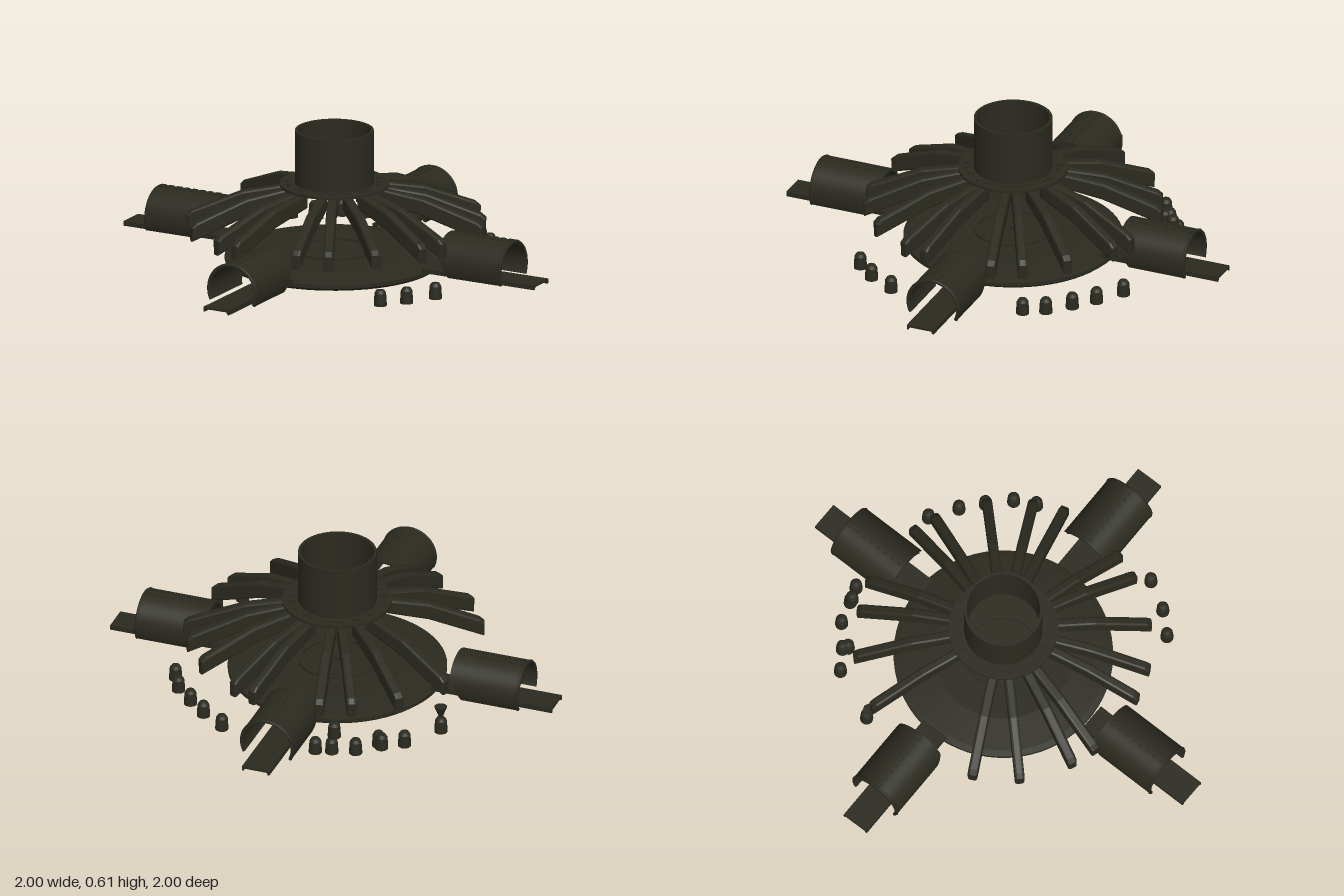
import * as THREE from 'three';

export function createModel() {
  const root = new THREE.Group();
  root.name = 'hubStructure';
  const olive = new THREE.MeshStandardMaterial({ color: 0x2b2a20, side: THREE.DoubleSide });
  olive.name = 'dark olive';

  const add = (parent, name, geo, x = 0, y = 0, z = 0) => {
    const m = new THREE.Mesh(geo, olive);
    m.name = name;
    m.position.set(x, y, z);
    parent.add(m);
    return m;
  };
  // Closed ring of revolution; doubled corners keep the edges sharp
  const lathe = (pts, seg = 64) => {
    const sharp = pts.flatMap(([r, y]) => [new THREE.Vector2(r, y), new THREE.Vector2(r, y)]);
    return new THREE.LatheGeometry(sharp, seg);
  };

  const hub = new THREE.Group();
  hub.name = 'hub';
  hub.position.set(-0.003, 0, -0.022);
  root.add(hub);

  // Base disc with a thin lip, plus low rings on its top
  add(hub, 'baseDisc', lathe([[0, 0.036], [0.43, 0.036], [0.435, 0.03], [0.45, 0.03],
    [0.465, 0.042], [0.465, 0.058], [0.44, 0.063], [0.3, 0.078], [0, 0.08]]));
  add(hub, 'discRing', lathe([[0.15, 0.078], [0.15, 0.088], [0.165, 0.088], [0.165, 0.078]]));
  add(hub, 'centrePin', new THREE.CylinderGeometry(0.012, 0.012, 0.02, 12), 0, 0.085, 0);

  // Open tower and its flange
  add(hub, 'tower', lathe([[0.155, 0.375], [0.167, 0.375], [0.167, 0.61], [0.155, 0.61], [0.155, 0.375]], 48));
  add(hub, 'flange', lathe([[0.155, 0.366], [0.232, 0.366], [0.232, 0.378], [0.155, 0.378], [0.155, 0.366]], 48));

  // Radial ribs, each given by its outer end in plan
  const ribEnds = [
    [-0.54, 0.28], [-0.42, 0.44], [-0.22, 0.56], [-0.11, 0.59], [0.18, 0.57], [0.31, 0.52],
    [0.465, 0.39], [0.58, 0.2], [0.61, 0.09], [0.61, -0.22], [0.545, -0.34], [0.42, -0.49],
    [0.22, -0.61], [0.12, -0.64], [-0.18, -0.63], [-0.305, -0.57], [-0.47, -0.445], [-0.59, -0.24],
  ];
  const ribGeo = (len) => {
    const b = 0.01, e = len - b;
    const s = new THREE.Shape();
    s.moveTo(0.195, 0.362);
    s.lineTo(0.39, 0.327);
    s.lineTo(e - 0.015, 0.24);
    s.lineTo(e, 0.226);
    s.lineTo(e, 0.178);
    s.lineTo(0.39, 0.27);
    s.lineTo(0.195, 0.315);
    s.closePath();
    const g = new THREE.ExtrudeGeometry(s, {
      depth: 0.022, bevelEnabled: true, bevelSize: b, bevelThickness: 0.01, bevelSegments: 2,
    });
    return g.translate(0, 0, -0.011);
  };
  for (const [x, z] of ribEnds) {
    const dx = x - hub.position.x, dz = z - hub.position.z;
    add(hub, 'rib', ribGeo(Math.hypot(dx, dz) + 0.01)).rotation.y = Math.atan2(-dz, dx);
  }
  // Small studs under the tower, one at the root of each rib
  for (const [x, z] of ribEnds) {
    const a = Math.atan2(z + 0.022, x);
    add(hub, 'flangeStud', new THREE.CylinderGeometry(0.012, 0.012, 0.016, 8),
      0.195 * Math.cos(a), 0.378, 0.195 * Math.sin(a));
  }

  // Loose bullet-shaped posts: x, z, base height
  const postGeo = lathe([[0, 0], [0.028, 0], [0.028, 0.012], [0.025, 0.055], [0.017, 0.068], [0, 0.071]], 16);
  const posts = [
    [0.25, -0.67, 0.03], [0.365, -0.6, 0.03], [0.455, -0.53, 0.03], [0.545, -0.45, 0.03],
    [0.595, -0.365, 0.03], [0.66, 0.225, 0.03], [0.595, 0.35, 0.03], [0.52, 0.44, 0.03],
    [-0.19, -0.69, 0.03], [-0.255, -0.665, 0.03], [-0.26, -0.65, 0.1], [-0.35, -0.63, 0.03],
    [-0.435, -0.55, 0.03], [-0.415, -0.535, 0.03], [-0.515, -0.49, 0.03], [-0.59, -0.275, 0],
  ];
  for (const [x, z, y] of posts) add(root, 'post', postGeo, x, y, z);
  add(root, 'flaredCap', new THREE.CylinderGeometry(0.028, 0.01, 0.045, 8), -0.585, 0.093, -0.265);

  // Vaulted tunnel, open below, its inner end cut back at the foot
  const R = 0.12, CY = 0.12, A0 = -0.44, A1 = Math.PI + 0.44;
  const tunnelGeo = () => {
    const s = new THREE.Shape();
    s.absarc(0, CY, R, A0, A1, false);
    s.absarc(0, CY, R - 0.012, A1, A0, true);
    s.closePath();
    const g = new THREE.ExtrudeGeometry(s, { depth: 0.31, bevelEnabled: false, curveSegments: 28 });
    const p = g.attributes.position;
    for (let i = 0; i < p.count; i++) {
      if (p.getZ(i) < 0.01) p.setZ(i, Math.max(0, 0.17 - p.getY(i)) * 0.5);
    }
    return g.translate(0, 0, 0.555);
  };

  // Channel-shaped walkway section
  const walkwayGeo = () => {
    const s = new THREE.Shape();
    const pts = [[-0.062, 0.058], [-0.055, 0.058], [-0.05, 0.069], [0.05, 0.069],
      [0.055, 0.058], [0.062, 0.058], [0.062, 0.079], [-0.062, 0.079]];
    s.setFromPoints(pts.map(([x, y]) => new THREE.Vector2(x, y)));
    return new THREE.ExtrudeGeometry(s, { depth: 0.545, bevelEnabled: false }).translate(0, 0, 0.453);
  };

  // Four arms: origin x, origin z, heading in degrees
  const arms = [
    ['frontArm', 0.005, 0, 2.6], ['leftArm', 0, -0.025, 93.2],
    ['backArm', 0, 0, 182.7], ['rightArm', 0, -0.035, 273.2],
  ];
  for (const [name, x, z, deg] of arms) {
    const arm = new THREE.Group();
    arm.name = name;
    arm.position.set(x, 0, z);
    arm.rotation.y = THREE.MathUtils.degToRad(deg);
    root.add(arm);
    add(arm, 'tunnel', tunnelGeo());
    add(arm, 'walkway', walkwayGeo());
    // Arched band at the outer mouth
    add(arm, 'mouthBand', new THREE.TorusGeometry(R - 0.005, 0.008, 6, 32, A1 - A0)
      .rotateZ(A0), 0, CY, 0.86);
    // Two rows of small ridge slats
    for (let i = 0; i < 8; i++) {
      for (const sx of [-0.016, 0.016]) {
        add(arm, 'ridgeSlat', new THREE.BoxGeometry(0.006, 0.006, 0.022), sx, CY + R, 0.58 + i * 0.038);
      }
    }
    // One tunnel is closed by a ringed, spoked grille
    if (name === 'rightArm') {
      add(arm, 'grillePlate', new THREE.CircleGeometry(R - 0.012, 40, A0, A1 - A0), 0, CY, 0.8);
      for (const r of [0.03, 0.055, 0.08, 0.105]) {
        add(arm, 'grilleRing', new THREE.TorusGeometry(r, 0.004, 6, 32, A1 - A0).rotateZ(A0), 0, CY, 0.805);
      }
      for (let i = 0; i < 7; i++) {
        const bar = add(arm, 'grilleSpoke', new THREE.BoxGeometry(0.1, 0.006, 0.008).translate(0.055, 0, 0), 0, CY, 0.805);
        bar.rotation.z = (i / 6) * Math.PI;
      }
    }
  }
  return root;
}
